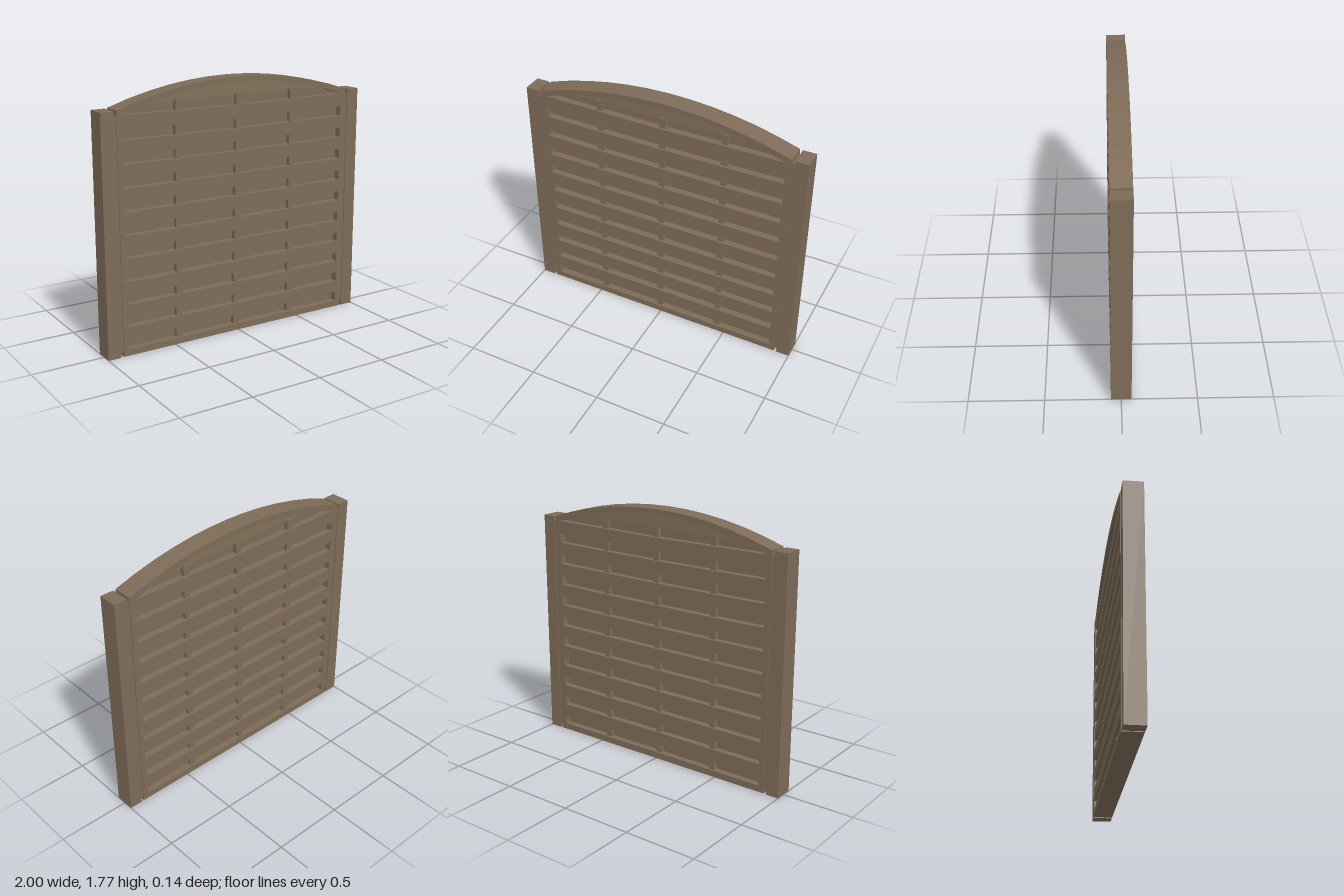
import * as THREE from 'three';

export function createModel() {
  const group = new THREE.Group();
  group.name = 'fencePanel';
  const wood = new THREE.MeshStandardMaterial({ color: 0x7e6b58 });
  wood.name = 'brown wood';
  const paleWood = new THREE.MeshStandardMaterial({ color: 0x82705a });
  paleWood.name = 'pale wood';

  const DEPTH = 0.135, ROWS = 10, PITCH = 0.1545;

  function add(name, geometry, material, x = 0, y = 0, z = 0) {
    const mesh = new THREE.Mesh(geometry, material);
    mesh.name = name;
    mesh.position.set(x, y, z);
    group.add(mesh);
    return mesh;
  }
  const box = (name, w, h, d, x, y) =>
    add(name, new THREE.BoxGeometry(w, h, d), wood, x, y, 0);

  // Points along a shallow arch, from right to left
  function arch(half, peak, drop, reach = half, steps = 12) {
    const r = (half * half + drop * drop) / (2 * drop);
    return Array.from({ length: steps + 1 }, (_, i) => {
      const x = reach * (1 - 2 * i / steps);
      return new THREE.Vector2(x, peak - r + Math.sqrt(r * r - x * x));
    });
  }
  const v = (x, y) => new THREE.Vector2(x, y);
  function slab(points, depth, holes = []) {
    const shape = new THREE.Shape(points);
    shape.holes = holes.map(h => new THREE.Path(h));
    const g = new THREE.ExtrudeGeometry(shape, { depth, bevelEnabled: false });
    return g.translate(0, 0, -depth / 2);
  }

  // Arched frame and slats, with long slots between the slats
  const opening = arch(0.85, 1.737, 0.142);
  const holes = [];
  for (let i = 0; i < ROWS; i++) {
    const y = 0.078 + PITCH * i;
    const sag = -0.003 + 0.012 * i / ROWS; // the slats bow a little more near the top
    holes.push([
      v(-0.85, y - 0.033), v(-0.6, y - 0.033 - sag / 2), v(0, y - 0.033 - sag), v(0.6, y - 0.033 - sag / 2),
      v(0.85, y - 0.033), v(0.85, y + 0.033), v(0.6, y + 0.033 - sag / 2), v(0, y + 0.033 - sag),
      v(-0.6, y + 0.033 - sag / 2), v(-0.85, y + 0.033),
    ]);
  }
  holes.push([v(-0.85, 1.592), v(0, 1.583), v(0.85, 1.592), ...opening.slice(1, -1)]);
  const outline = [v(-0.89, 0.002), v(0.89, 0.002), ...arch(0.89, 1.773, 0.15)];
  add('slattedFrame', slab(outline, DEPTH, holes), wood);

  // Recessed core behind the slots
  add('core', slab([v(-0.87, 0.03), v(0.87, 0.03), ...arch(0.87, 1.745, 0.145)], 0.044), wood);

  // Upright battens seen in the slots, slightly out of plumb
  for (const [bottom, top] of [[-0.467, -0.449], [-0.015, 0.01], [0.44, 0.442]]) {
    const batten = box('batten', 0.042, 1.62, 0.105, (bottom + top) / 2, 0.85);
    batten.rotation.z = -Math.atan2(top - bottom, 1.62);
  }

  // Top slat filling the arch
  const infill = [v(-0.45, 1.65), v(0.45, 1.65), ...arch(0.85, 1.74, 0.142, 0.7)];
  add('archInfill', slab(infill, 0.085), paleWood);

  // Side posts, joined to the panel by recessed strips
  for (const s of [-1, 1]) {
    box('post', 0.092, 1.62, DEPTH, s * 0.954, 0.81);
    box('joiningStrip', 0.03, 1.56, DEPTH - 0.012, s * 0.9, 0.812);
  }
  return group;
}
